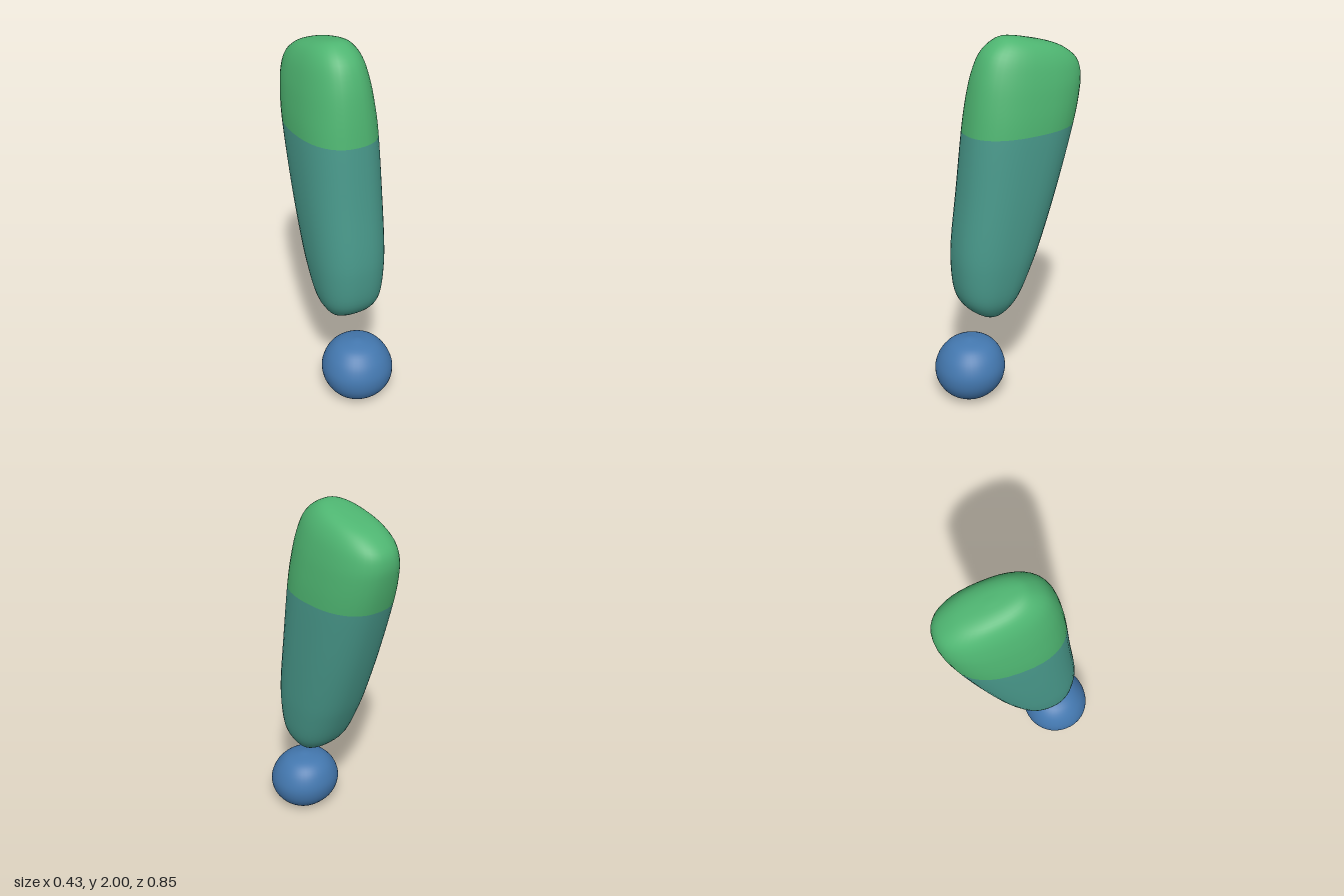
import * as THREE from 'three';

// Smooth closed body lofted through tilted rings.
// Each ring: [front z, front y, back z, back y, half width]; first and last are poles.
function loft(rings, power, around = 40, steps = 4) {
  const front = new THREE.CatmullRomCurve3(rings.map(r => new THREE.Vector3(r[4], r[1], r[0])), false, 'catmullrom');
  const back = new THREE.CatmullRomCurve3(rings.map(r => new THREE.Vector3(r[4], r[3], r[2])), false, 'catmullrom');
  const rows = (rings.length - 1) * steps;
  const pos = [], index = [];
  const bend = v => Math.sign(v) * Math.abs(v) ** (2 / power);
  for (let i = 0; i <= rows; i++) {
    const f = front.getPoint(i / rows), b = back.getPoint(i / rows);
    const count = i === 0 || i === rows ? 1 : around;
    for (let j = 0; j < count; j++) {
      const a = (j / around) * Math.PI * 2;
      const t = (1 - bend(Math.cos(a))) / 2; // 0 at the front, 1 at the back
      pos.push(f.x * bend(Math.sin(a)), f.y + (b.y - f.y) * t, f.z + (b.z - f.z) * t);
    }
  }
  const id = (i, j) => i === 0 ? 0 : i === rows ? 1 + (rows - 1) * around : 1 + (i - 1) * around + (j % around);
  for (let i = 0; i < rows; i++) {
    for (let j = 0; j < around; j++) {
      if (i > 0) index.push(id(i, j), id(i, j + 1), id(i + 1, j));
      if (i < rows - 1) index.push(id(i, j + 1), id(i + 1, j + 1), id(i + 1, j));
      else continue;
    }
  }
  const geo = new THREE.BufferGeometry();
  geo.setAttribute('position', new THREE.Float32BufferAttribute(pos, 3));
  geo.setIndex(index);
  geo.computeVertexNormals();
  // number of indices below a given ring, for colour groups
  geo.userData.below = ring => around * 3 * (2 * ring * steps - 1);
  return geo;
}

export function createModel() {
  const material = (name, color) => {
    const m = new THREE.MeshStandardMaterial({ color });
    m.name = name;
    return m;
  };
  const green = material('green', 0x4eb571);
  const teal = material('teal', 0x48988a);
  const blue = material('blue', 0x4377ae);
  const model = new THREE.Group();
  model.name = 'exclamationMark';

  // Leaning stroke: teal shaft with a green upper end
  const strokeGeo = loft([
    [0.14, 0.475, 0.14, 0.475, 0],
    [0.195, 0.497, 0.08, 0.486, 0.09],
    [0.26, 0.55, 0.01, 0.54, 0.14],
    [0.30, 0.63, -0.05, 0.62, 0.172],
    [0.315, 0.77, -0.12, 0.77, 0.193],
    [0.31, 0.92, -0.18, 0.92, 0.204],
    [0.275, 1.2, -0.275, 1.2, 0.213],
    [0.24, 1.515, -0.375, 1.53, 0.213],
    [0.215, 1.69, -0.415, 1.70, 0.198],
    [0.185, 1.82, -0.422, 1.79, 0.178],
    [0.14, 1.92, -0.40, 1.855, 0.152],
    [0.07, 1.98, -0.335, 1.91, 0.115],
    [0, 2.0, -0.257, 1.945, 0.065],
    [-0.125, 1.98, -0.125, 1.98, 0],
  ], 2.35);
  const split = strokeGeo.userData.below(7);
  strokeGeo.addGroup(0, split, 0);
  strokeGeo.addGroup(split, strokeGeo.index.count - split, 1);
  const stroke = new THREE.Mesh(strokeGeo, [teal, green]);
  stroke.name = 'stroke';
  model.add(stroke);

  // Rounded dot, fuller towards the lower front
  const dot = new THREE.Mesh(loft([
    [0.245, 0.003, 0.245, 0.003, 0],
    [0.33, 0.018, 0.16, 0.015, 0.09],
    [0.385, 0.05, 0.105, 0.055, 0.145],
    [0.42, 0.105, 0.065, 0.11, 0.183],
    [0.43, 0.165, 0.048, 0.175, 0.197],
    [0.42, 0.22, 0.055, 0.235, 0.187],
    [0.39, 0.277, 0.085, 0.295, 0.155],
    [0.335, 0.327, 0.14, 0.335, 0.1],
    [0.24, 0.355, 0.24, 0.355, 0],
  ], 2.08), blue);
  dot.name = 'dot';
  model.add(dot);

  return model;
}
